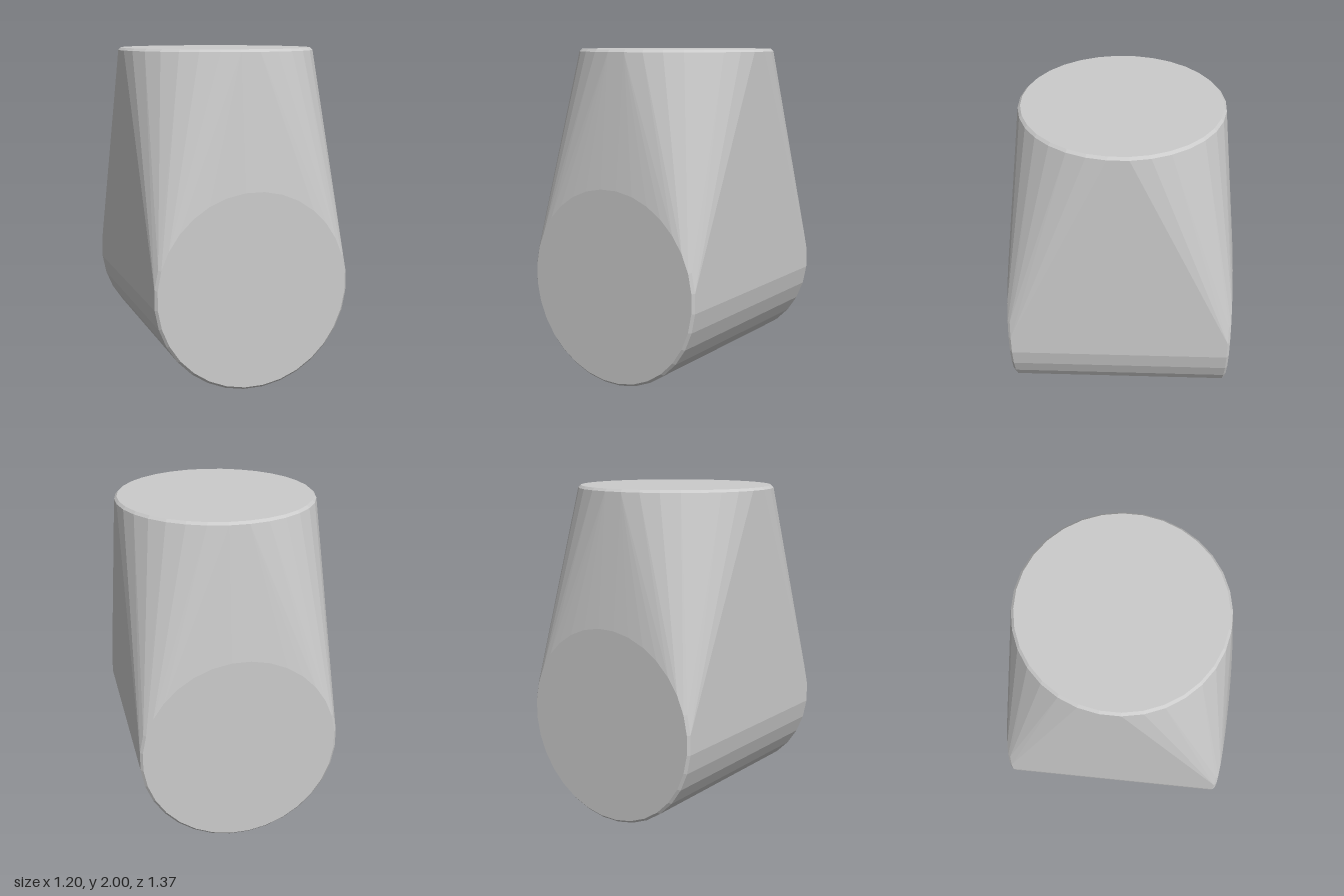
import * as THREE from 'three';
import { ConvexGeometry } from 'three/addons/geometries/ConvexGeometry.js';

const SIDES = 32;
const RADIUS = 0.605;
const BEVEL = 0.015;

// Points around a circle, placed in space by a function of (a, b)
function ring(radius, place) {
  return Array.from({ length: SIDES }, (_, i) => {
    const t = ((i + 0.5) / SIDES) * Math.PI * 2;
    return place(radius * Math.cos(t), radius * Math.sin(t));
  });
}

export function createModel() {
  const group = new THREE.Group();
  const points = [];

  // Round flat top with a small bevelled rim
  for (const [r, y] of [[RADIUS, 2 - BEVEL], [RADIUS - BEVEL, 2]]) {
    points.push(...ring(r, (a, b) => new THREE.Vector3(a, y, b)));
  }

  // Lying cylinder at the base, with bevelled round faces front and back
  for (const side of [-1, 1]) {
    for (const [r, z] of [[RADIUS, 0.685 - BEVEL], [RADIUS - BEVEL, 0.685]]) {
      points.push(...ring(r, (a, b) => new THREE.Vector3(a, RADIUS + b, side * z)));
    }
  }

  // The body is the taut skin joining the top disc to the lying cylinder
  const geometry = new ConvexGeometry(points);
  geometry.computeBoundingBox();
  geometry.translate(0, -geometry.boundingBox.min.y, 0);
  const body = new THREE.Mesh(
    geometry,
    new THREE.MeshStandardMaterial({ color: 0xcccccc, flatShading: true })
  );
  body.name = 'body';
  group.add(body);
  return group;
}
